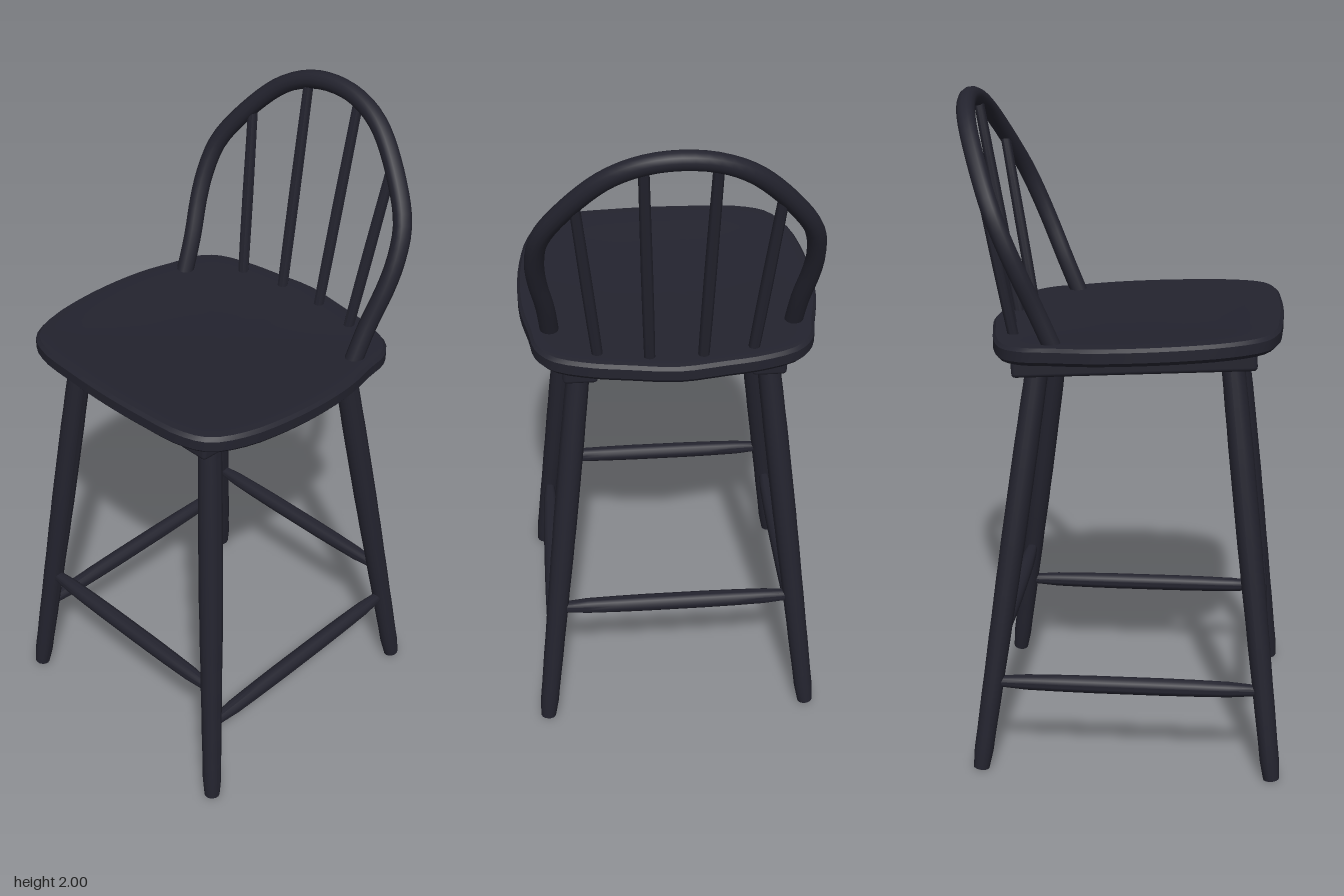
import * as THREE from 'three';
import { toCreasedNormals } from 'three/addons/utils/BufferGeometryUtils.js';
import { RoundedBoxGeometry } from 'three/addons/geometries/RoundedBoxGeometry.js';

const paint = new THREE.MeshStandardMaterial({ color: 0x23232e });
paint.name = 'black paint';
const SLOPE = 0.052; // the seat rises towards the front
const V = (x, y, z) => new THREE.Vector3(x, y, z);

function add(group, name, geometry) {
  const mesh = new THREE.Mesh(geometry, paint);
  mesh.name = name;
  group.add(mesh);
  return mesh;
}

// Turned rod between two points; radii are spread evenly along its length
function rod(group, name, from, to, radii, sides = 14) {
  const length = from.distanceTo(to);
  const profile = radii.map((r, i) => new THREE.Vector2(r, (i / (radii.length - 1) - 0.5) * length));
  profile.unshift(new THREE.Vector2(0, -length / 2));
  profile.push(new THREE.Vector2(0, length / 2));
  const mesh = add(group, name, toCreasedNormals(new THREE.LatheGeometry(profile, sides), 0.7));
  mesh.position.copy(from).add(to).multiplyScalar(0.5);
  mesh.quaternion.setFromUnitVectors(V(0, 1, 0), to.clone().sub(from).normalize());
}

// Dished seat: one outline repeated in rings from the top centre to the bottom centre
function seatGeometry() {
  const half = [[0.15, 0.466], [0.28, 0.453], [0.36, 0.415], [0.41, 0.32], [0.435, 0.19], [0.443, 0.05],
    [0.435, -0.08], [0.412, -0.19], [0.396, -0.27], [0.35, -0.33], [0.25, -0.368], [0.13, -0.388]];
  const outline = [[0, 0.471], ...half, [0, -0.405], ...half.slice().reverse().map(([x, z]) => [-x, z])];
  const n = 72;
  const curve = new THREE.CatmullRomCurve3(outline.map(([x, z]) => V(x, 0, z)), true);
  const loop = curve.getPoints(n).slice(0, n);
  const rings = [[0, -0.012], [0.4, -0.011], [0.75, -0.006], [0.92, 0], [0.98, -0.002], [1, -0.012],
    [1, -0.042], [0.98, -0.053], [0, -0.053]];
  const positions = [], index = [];
  rings.forEach(([s, h], j) => loop.forEach((p, i) => {
    positions.push(p.x * s, 1.337 + h + SLOPE * p.z * s, p.z * s);
    if (j === rings.length - 1) return;
    const a = j * n + i, b = j * n + (i + 1) % n;
    if (s > 0) index.push(a, a + n, b);
    if (rings[j + 1][0] > 0) index.push(b, a + n, b + n);
  }));
  const g = new THREE.BufferGeometry();
  g.setAttribute('position', new THREE.Float32BufferAttribute(positions, 3));
  g.setIndex(index);
  return toCreasedNormals(g, 0.6);
}

export function createModel() {
  const stool = new THREE.Group();
  stool.name = 'barStool';
  add(stool, 'seat', seatGeometry());

  // Foot and top of each leg on the +x side
  const legs = {
    front: [V(0.415, 0.004, 0.467), V(0.272, 1.255, 0.325)],
    back: [V(0.415, 0.004, -0.412), V(0.272, 1.235, -0.238)],
  };
  const onLeg = (end, side, y) => {
    const [foot, top] = legs[end];
    const p = foot.clone().lerp(top, (y - foot.y) / (top.y - foot.y));
    p.x *= side;
    return p;
  };
  const stretcherRadii = [0.015, 0.023, 0.025, 0.026, 0.026, 0.026, 0.025, 0.023, 0.015];

  for (const side of [1, -1]) {
    const label = side > 0 ? 'left' : 'right';
    // Rail under the seat that holds a front and a back leg
    const rail = add(stool, label + 'Rail', new RoundedBoxGeometry(0.1, 0.06, 0.705, 2, 0.012));
    rail.position.set(side * 0.27, 1.258, 0.042);
    rail.rotation.x = -Math.atan(SLOPE);

    for (const end of ['front', 'back']) {
      rod(stool, label + '-' + end + 'Leg', onLeg(end, side, 0.004), onLeg(end, side, legs[end][1].y),
        [0.024, 0.029, 0.029, 0.03, 0.031, 0.031, 0.032, 0.033, 0.033, 0.034, 0.035, 0.035,
          0.036, 0.036, 0.036, 0.036, 0.036, 0.036, 0.035, 0.035, 0.034, 0.034]);
    }
    rod(stool, label + 'Stretcher', onLeg('front', side, 0.28), onLeg('back', side, 0.28), stretcherRadii);
  }
  for (const end of ['front', 'back']) {
    rod(stool, end + 'Stretcher', onLeg(end, 1, 0.41), onLeg(end, -1, 0.41), stretcherRadii);
  }

  // Bent hoop of the back, leaning rearwards in one plane
  const hoopPoint = (x, y) => V(x, y, -0.19 - (y - 1.33) * 0.42);
  const arm = [[0.35, 1.3], [0.36, 1.42], [0.378, 1.53], [0.382, 1.61], [0.367, 1.7], [0.312, 1.79],
    [0.195, 1.912], [0.1, 1.959]];
  const path = [...arm, [0, 1.973], ...arm.slice().reverse().map(([x, y]) => [-x, y])];
  const hoop = new THREE.CatmullRomCurve3(path.map(([x, y]) => hoopPoint(x, y)));
  add(stool, 'backHoop', new THREE.TubeGeometry(hoop, 60, 0.027, 12));

  // Spindles fanning from the rear of the seat into the hoop
  for (const side of [1, -1]) {
    for (const [x0, z0, x1, y1] of [[0.218, -0.31, 0.272, 1.84], [0.075, -0.337, 0.095, 1.955]]) {
      const top = hoopPoint(side * x1, y1);
      rod(stool, 'spindle', V(side * x0, 1.29, z0), top, [0.016, 0.017, 0.017, 0.016, 0.015], 10);
    }
  }
  return stool;
}
